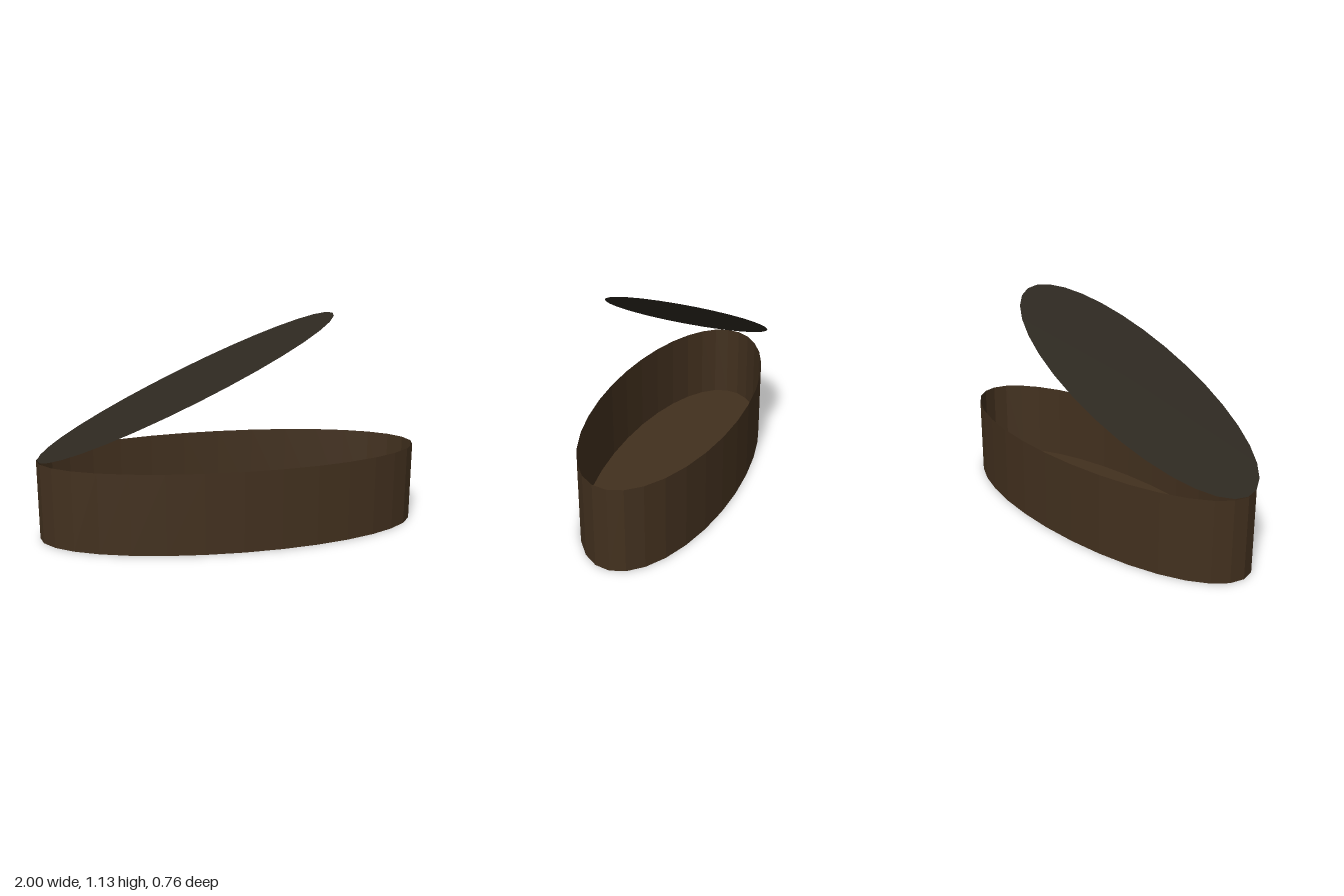
import * as THREE from 'three';

const SEGMENTS = 32;
const HEIGHT = 0.42;
const HALF_DEPTH = 0.38;

const material = (color) =>
  new THREE.MeshStandardMaterial({ color, flatShading: true, side: THREE.DoubleSide });

// Flat horizontal ellipse facing up
function ellipse(halfLength) {
  return new THREE.CircleGeometry(1, SEGMENTS).rotateX(-Math.PI / 2).scale(halfLength, 1, HALF_DEPTH);
}

function part(name, geometry, mat) {
  const mesh = new THREE.Mesh(geometry, mat);
  mesh.name = name;
  return mesh;
}

export function createModel() {
  const model = new THREE.Group();
  model.name = 'ovalBox';
  const brown = material(0x42301e);
  const dark = material(0x2e2921);

  // Open thin-walled oval body
  const wallGeometry = new THREE.CylinderGeometry(1, 1, HEIGHT, SEGMENTS, 1, true)
    .scale(1, 1, HALF_DEPTH)
    .translate(0, HEIGHT / 2, 0);
  model.add(part('wall', wallGeometry, brown));
  model.add(part('floor', ellipse(1), brown));

  // Flat lid propped open from its hinge at the right end
  const hinge = new THREE.Vector2(-0.995, HEIGHT);
  const tip = new THREE.Vector2(0.535, 1.13);
  const halfLength = hinge.distanceTo(tip) / 2;
  const lid = part('lid', ellipse(halfLength).translate(halfLength, 0, 0), dark);
  lid.position.set(hinge.x, hinge.y, 0);
  lid.rotation.z = tip.clone().sub(hinge).angle();
  model.add(lid);

  return model;
}
